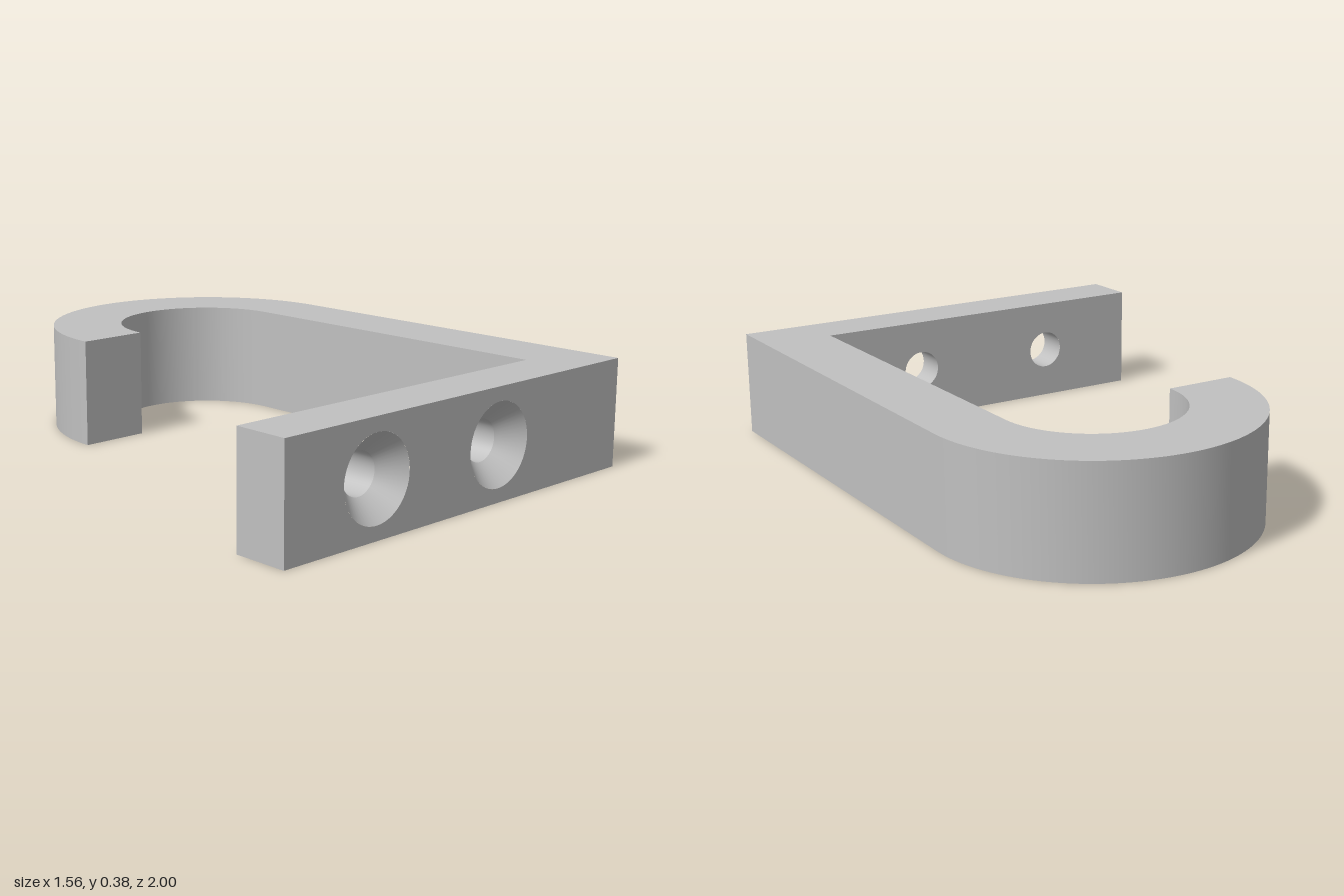
import * as THREE from 'three';
import { mergeGeometries, toCreasedNormals } from 'three/addons/utils/BufferGeometryUtils.js';

const H = 0.375;                       // height of the whole bracket
const X = 0.78, ARM_IN = 0.53;         // outer side, inner side of the arm
const FRONT = 1, BACK = 0.81;          // plate faces
const HOLES = [-0.405, 0.155], HOLE_Y = H / 2;
const BORE = 0.07, SINK = 0.14, SINK_DEPTH = 0.075;

// Plate face with two round holes
function plateFace(radius) {
  const s = new THREE.Shape();
  s.moveTo(-X, 0).lineTo(ARM_IN, 0).lineTo(ARM_IN, H).lineTo(-X, H).closePath();
  for (const x of HOLES) {
    s.holes.push(new THREE.Path().absarc(x, HOLE_Y, radius, 0, Math.PI * 2, true));
  }
  return new THREE.ShapeGeometry(s, 48);
}

// Inward-facing wall of a hole, from front radius and z to back radius and z
function holeWall(x, r1, z1, r2, z2) {
  return new THREE.LatheGeometry([new THREE.Vector2(r1, z1), new THREE.Vector2(r2, z2)], 48)
    .rotateX(Math.PI / 2).translate(x, HOLE_Y, 0);
}

export function createModel() {
  const model = new THREE.Group();
  model.name = 'wallHook';
  const metal = new THREE.MeshStandardMaterial({ color: 0xc0c0c0 });
  metal.name = 'grey metal';
  const add = (name, geometry) => {
    const mesh = new THREE.Mesh(geometry, metal);
    mesh.name = name;
    model.add(mesh);
  };

  // Straight arm running into the half-round hook
  const cx = 0.218, cy = 0.438;
  const s = new THREE.Shape();
  s.moveTo(ARM_IN, -FRONT);
  s.lineTo(X, -FRONT);
  s.lineTo(X, cy);
  s.absarc(cx, cy, X - cx, 0, Math.PI, false);
  s.absarc(cx, cy, ARM_IN - cx, Math.PI, 0, true);
  s.closePath();
  const arm = new THREE.ExtrudeGeometry(s, { depth: H, bevelEnabled: false, curveSegments: 48 });
  add('hookArm', toCreasedNormals(arm.rotateX(-Math.PI / 2), 0.5));

  // Mounting plate: front and back faces, then the top, bottom and free end
  const len = ARM_IN + X, mid = (ARM_IN - X) / 2;
  const thick = FRONT - BACK, zMid = (FRONT + BACK) / 2;
  const back = plateFace(BORE).translate(0, 0, BACK);
  const idx = back.index.array;
  for (let i = 0; i < idx.length; i += 3) [idx[i], idx[i + 1]] = [idx[i + 1], idx[i]];
  back.computeVertexNormals();
  add('mountingPlate', mergeGeometries([
    plateFace(SINK).translate(0, 0, FRONT),
    back,
    new THREE.PlaneGeometry(len, thick).rotateX(-Math.PI / 2).translate(mid, H, zMid),
    new THREE.PlaneGeometry(len, thick).rotateX(Math.PI / 2).translate(mid, 0, zMid),
    new THREE.PlaneGeometry(thick, H).rotateY(-Math.PI / 2).translate(-X, H / 2, zMid),
  ]));

  // Countersunk screw holes
  const neck = FRONT - SINK_DEPTH;
  for (const x of HOLES) {
    add('countersink', holeWall(x, SINK, FRONT, BORE, neck));
    add('screwBore', holeWall(x, BORE, neck, BORE, BACK));
  }
  return model;
}
